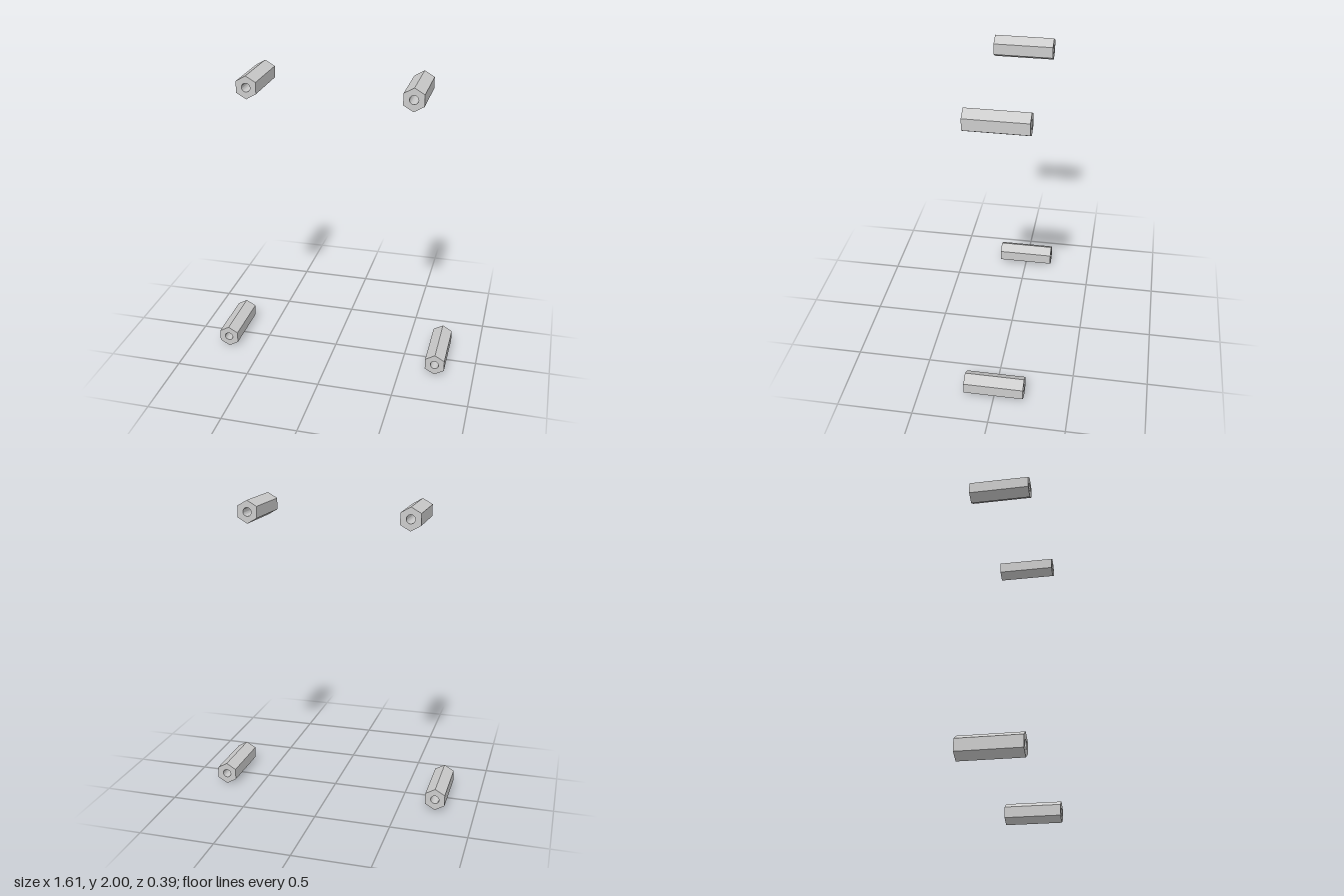
import * as THREE from 'three';
import { toCreasedNormals } from 'three/addons/utils/BufferGeometryUtils.js';

const RADIUS = 0.075; // hexagon corner radius
const BORE = 0.028;
const LENGTH = 0.394;

// Hexagonal spacer with a round through-hole, running along z
function spacerGeometry() {
  const shape = new THREE.Shape();
  for (let i = 0; i < 6; i++) {
    const a = Math.PI / 2 + (i * Math.PI) / 3;
    const x = RADIUS * Math.cos(a), y = RADIUS * Math.sin(a);
    if (i === 0) shape.moveTo(x, y);
    else shape.lineTo(x, y);
  }
  shape.closePath();

  const hole = new THREE.Path();
  hole.absarc(0, 0, BORE, 0, Math.PI * 2, true);
  shape.holes.push(hole);

  const geometry = new THREE.ExtrudeGeometry(shape, {
    depth: LENGTH, bevelEnabled: false, curveSegments: 16,
  });
  geometry.translate(0, 0, -LENGTH / 2);
  return toCreasedNormals(geometry, Math.PI / 6);
}

export function createModel() {
  const group = new THREE.Group();
  group.name = 'hexSpacers';
  const geometry = spacerGeometry();
  const material = new THREE.MeshStandardMaterial({ color: 0xcccccc });

  // Upper pair sits closer together than the lower pair
  const rows = [
    { name: 'upper', x: 0.528, y: 2 - RADIUS },
    { name: 'lower', x: 0.738, y: RADIUS },
  ];
  for (const row of rows) {
    for (const side of [1, -1]) {
      const spacer = new THREE.Mesh(geometry, material);
      spacer.name = `${row.name}${side > 0 ? 'Left' : 'Right'}Spacer`;
      spacer.position.set(side * row.x, row.y, 0);
      group.add(spacer);
    }
  }
  return group;
}
